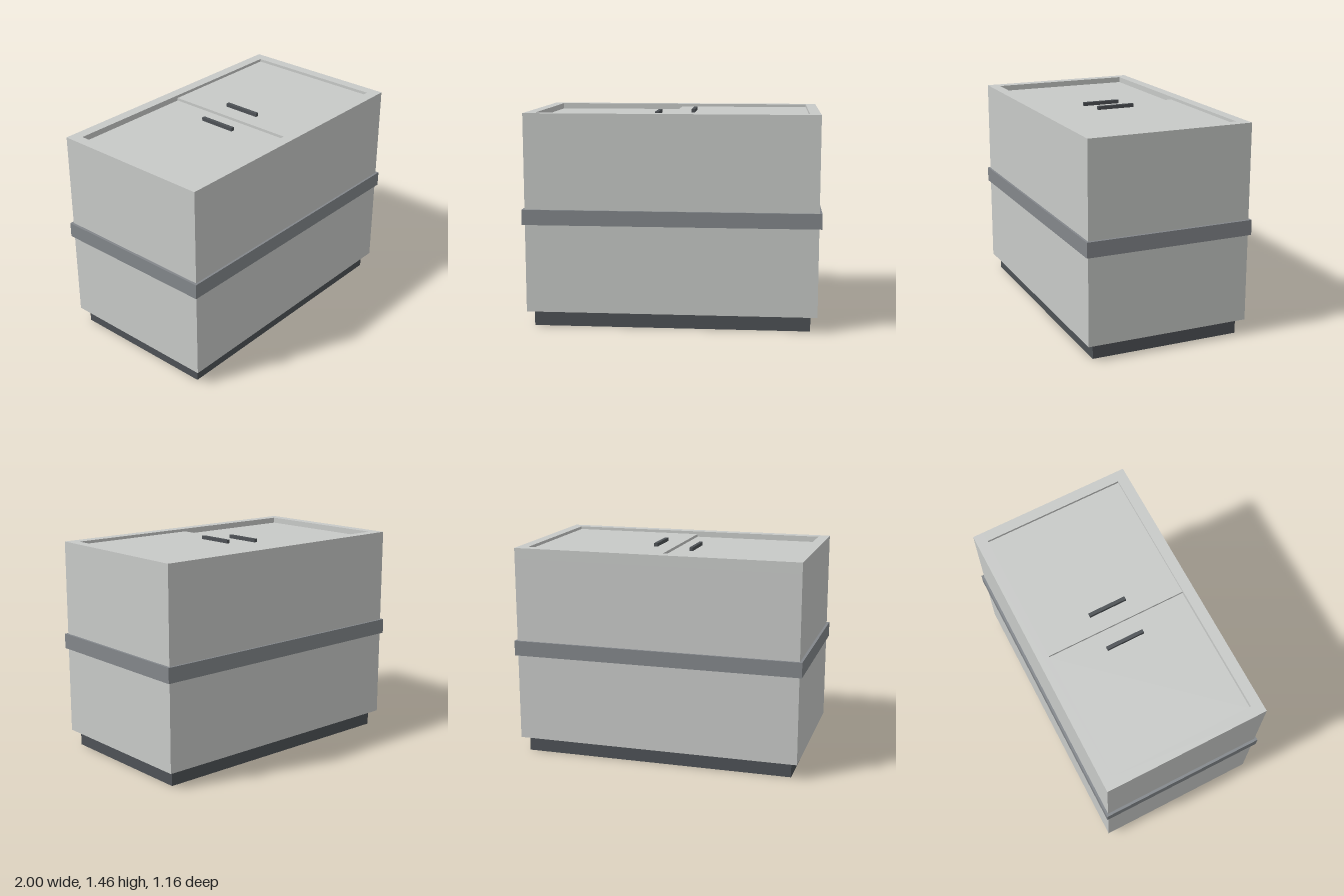
import * as THREE from 'three';

const mat = (name, color) => {
  const m = new THREE.MeshStandardMaterial({ color });
  m.name = name;
  return m;
};

export function createModel() {
  const group = new THREE.Group();
  group.name = 'storageChest';
  const lightGrey = mat('lightGrey', 0xc8cac8);
  const midGrey = mat('midGrey', 0x83878b);
  const darkGrey = mat('darkGrey', 0x4e5256);

  // Box given by its limits on each axis
  const box = (name, material, [x0, x1], [y0, y1], [z0, z1]) => {
    const mesh = new THREE.Mesh(new THREE.BoxGeometry(x1 - x0, y1 - y0, z1 - z0), material);
    mesh.position.set((x0 + x1) / 2, (y0 + y1) / 2, (z0 + z1) / 2);
    mesh.name = name;
    group.add(mesh);
  };

  // Recessed plinth, body and surrounding band
  box('plinth', darkGrey, [-0.937, 0.937], [0, 0.107], [-0.52, 0.52]);
  box('body', lightGrey, [-0.982, 0.982], [0.107, 1.383], [-0.567, 0.567]);
  box('band', midGrey, [-1, 1], [0.707, 0.81], [-0.582, 0.582]);

  // Raised rim: long rails run full width, end rails fit between them
  const rimY = [1.383, 1.455];
  box('frontRail', lightGrey, [-0.982, 0.982], rimY, [0.493, 0.567]);
  box('backRail', lightGrey, [-0.982, 0.982], rimY, [-0.567, -0.493]);
  box('leftRail', lightGrey, [0.91, 0.982], rimY, [-0.493, 0.493]);
  box('rightRail', lightGrey, [-0.982, -0.91], rimY, [-0.493, 0.493]);

  // Two sliding lids, the left one riding above the right one
  const lids = [
    { side: 'right', x: [-0.91, -0.01], y: [1.383, 1.416], handleX: -0.135 },
    { side: 'left', x: [-0.01, 0.91], y: [1.416, 1.435], handleX: 0.118 },
  ];
  for (const { side, x, y, handleX } of lids) {
    box(`${side}Lid`, lightGrey, x, y, [-0.493, 0.493]);
    box(`${side}Handle`, darkGrey, [handleX - 0.012, handleX + 0.012], [y[1], y[1] + 0.024], [-0.132, 0.132]);
  }
  return group;
}
